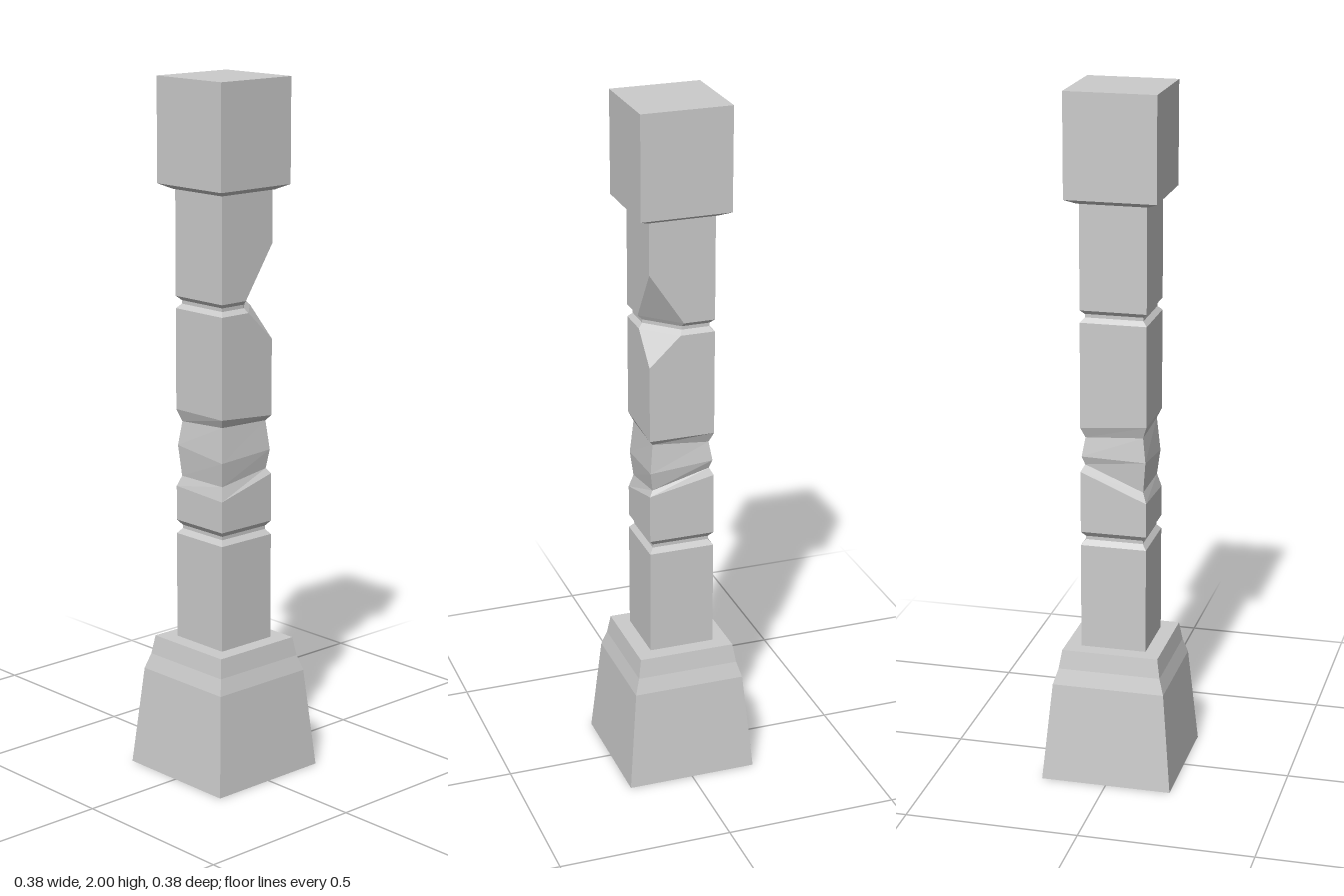
import * as THREE from 'three';

const material = new THREE.MeshStandardMaterial({ color: 0xcccccc, flatShading: true, side: THREE.DoubleSide });

// Square section of half width a; y is one height or one per corner
// (back right, front right, front left, back left). chip cuts the front left corner.
function ring(a, y, chip = 0) {
  const h = Array.isArray(y) ? y : [y, y, y, y];
  return [
    [-a, h[0], -a], [-a, h[1], a],
    [a - chip, h[2], a], [a, h[2], a - chip],
    [a, h[3], -a],
  ];
}

// Joins sections from bottom to top, with optional end faces
function loft(name, rings, { top = false, bottom = false } = {}) {
  const positions = [];
  const same = (p, q) => p.every((v, k) => Math.abs(v - q[k]) < 1e-6);
  const tri = (p, q, r) => {
    if (!same(p, q) && !same(q, r) && !same(p, r)) positions.push(...p, ...q, ...r);
  };
  for (let k = 0; k + 1 < rings.length; k++) {
    const low = rings[k], high = rings[k + 1];
    for (let i = 0; i < low.length; i++) {
      const j = (i + 1) % low.length;
      tri(low[i], low[j], high[j]);
      tri(low[i], high[j], high[i]);
    }
  }
  const first = rings[0], last = rings[rings.length - 1];
  for (let i = 1; i + 1 < first.length; i++) {
    if (top) tri(last[0], last[i], last[i + 1]);
    if (bottom) tri(first[0], first[i + 1], first[i]);
  }
  const geometry = new THREE.BufferGeometry();
  geometry.setAttribute('position', new THREE.Float32BufferAttribute(positions, 3));
  geometry.computeVertexNormals();
  const mesh = new THREE.Mesh(geometry, material);
  mesh.name = name;
  return mesh;
}

export function createModel() {
  const model = new THREE.Group();
  model.name = 'stonePillar';

  // Tapered foot, hollow underneath
  model.add(loft('base', [
    ring(0.19, 0), ring(0.163, 0.29), ring(0.149, 0.335), ring(0.14, 0.39),
  ], { top: true }));

  // Shaft with carved grooves, a worn waist and a chipped corner
  const w = 0.095, groove = 0.083;
  model.add(loft('shaft', [
    ring(w, 0.39),
    ring(w, 0.7), ring(groove, 0.715), ring(groove, 0.725), ring(w, 0.74),
    // worn waist
    ring(w, [0.84, 0.83, 0.88, 0.92]),
    ring(0.084, [0.87, 0.87, 0.895, 0.94]),
    ring(0.092, [0.96, 0.94, 0.95, 0.965]),
    ring(0.083, [1.03, 1.04, 1.035, 1.02]),
    ring(w, [1.065, 1.065, 1.05, 1.05]),
    // chipped corner around the upper groove
    ring(w, 1.27),
    ring(w, 1.355, 0.09), ring(groove, 1.368, 0.085), ring(groove, 1.378, 0.085), ring(w, 1.39, 0.1),
    ring(w, 1.54),
    ring(w, 1.7),
  ]));

  // Block on top, bevelled below
  model.add(loft('cap', [
    ring(0.1, 1.69), ring(0.13, 1.705), ring(0.13, 2),
  ], { top: true, bottom: true }));

  return model;
}
